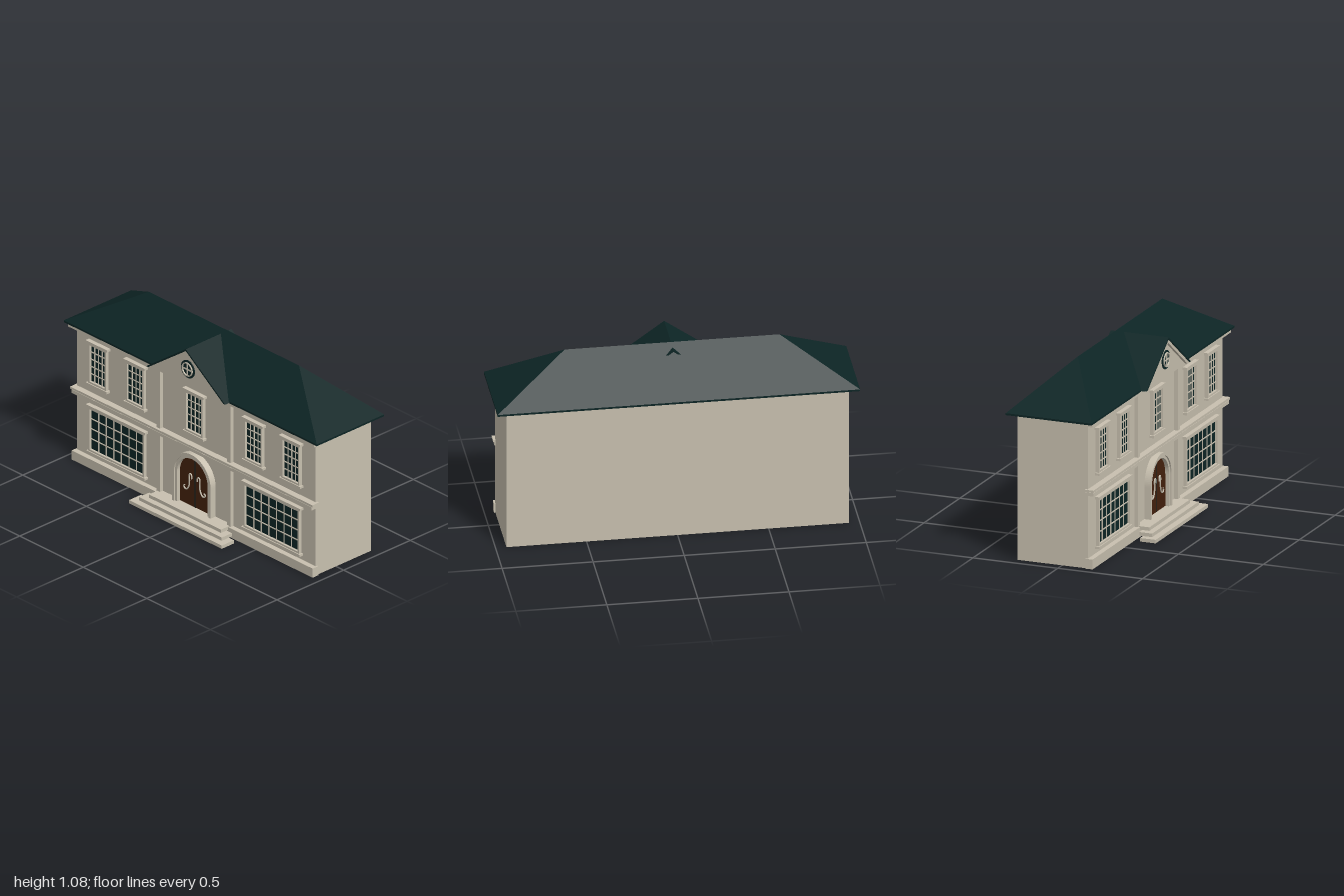
import * as THREE from 'three';

const stone = new THREE.MeshStandardMaterial({ color: 0xc8c0af });
stone.name = 'stone';
const slate = new THREE.MeshStandardMaterial({ color: 0x0d2525 });
slate.name = 'darkSlate';
const wood = new THREE.MeshStandardMaterial({ color: 0x44210d });
wood.name = 'doorWood';

const WALL = 0.152; // z of the front wall face

export function createModel() {
  const house = new THREE.Group();
  house.name = 'house';

  const add = (name, geometry, material, parent = house) => {
    const mesh = new THREE.Mesh(geometry, material);
    mesh.name = name;
    parent.add(mesh);
    return mesh;
  };
  // Box given by its limits on each axis
  const box = (name, x0, x1, y0, y1, z0, z1, material = stone, parent = house) => {
    const mesh = add(name, new THREE.BoxGeometry(x1 - x0, y1 - y0, z1 - z0), material, parent);
    mesh.position.set((x0 + x1) / 2, (y0 + y1) / 2, (z0 + z1) / 2);
    return mesh;
  };
  // Flat shape extruded between two z values
  const slab = (name, shape, z0, z1, material, parent = house) => {
    const geometry = new THREE.ExtrudeGeometry(shape, { depth: z1 - z0, bevelEnabled: false, curveSegments: 24 });
    return add(name, geometry.translate(0, 0, z0), material, parent);
  };
  const polygon = (points) => new THREE.Shape(points.map(([x, y]) => new THREE.Vector2(x, y)));

  // Main body, plinth, string courses and cornice
  box('walls', -0.94, 0.94, 0, 0.835, -0.262, WALL);
  box('plinth', -0.948, 0.948, 0, 0.056, 0.14, 0.183);
  box('lowerCourse', -0.945, 0.945, 0.413, 0.432, 0.14, 0.187);
  box('upperCourse', -0.953, 0.953, 0.436, 0.449, 0.14, 0.19);
  box('cornice', -0.968, 0.968, 0.812, 0.832, 0.14, 0.19);
  for (const s of [-1, 1]) {
    box('pilaster', s * 0.277 - 0.014, s * 0.277 + 0.014, 0.05, 0.83, 0.14, 0.174);
  }

  // Front steps
  [[0.365, 0.217, 0.309], [0.325, 0.195, 0.271], [0.283, 0.14, 0.237]].forEach(([w, z0, z1], i) =>
    box('step', -w, w, i * 0.02, (i + 1) * 0.02, z0, z1));

  // Hipped roof: a box whose top is drawn in to the ridge
  box('eaves', -0.995, 0.995, 0.831, 0.842, -0.309, 0.197, slate);
  const hip = new THREE.BoxGeometry(1.99, 0.238, 0.506);
  const p = hip.attributes.position;
  for (let i = 0; i < p.count; i++) {
    if (p.getY(i) > 0) p.setXYZ(i, Math.sign(p.getX(i)) * 0.59, p.getY(i), 0);
  }
  hip.computeVertexNormals();
  add('hipRoof', hip, slate).position.set(0, 0.961, -0.056);

  // Front gable: roof slabs, rake trim and pediment
  const slope = 0.222 / 0.31;
  const chevron = (top, thick, base) => polygon([
    [-(top - base) / slope, base], [-(top - thick - base) / slope, base], [0, top - thick],
    [(top - thick - base) / slope, base], [(top - base) / slope, base], [0, top]]);
  slab('gableRoof', chevron(1.058, 0.011, 0.836), -0.111, 0.231, slate);
  slab('rakeTrim', chevron(1.047, 0.02, 0.832), 0.19, 0.227, stone);
  slab('pediment', polygon([[-0.285, 0.832], [0.285, 0.832], [0, 1.037]]), 0.1, 0.212, stone);

  // Round window in the pediment
  const oculus = new THREE.Group();
  oculus.name = 'roundWindow';
  oculus.position.set(0, 0.93, 0.212);
  house.add(oculus);
  const disc = (name, r, depth, material) =>
    add(name, new THREE.CylinderGeometry(r, r, depth, 32).rotateX(Math.PI / 2), material, oculus);
  disc('roundGlass', 0.053, 0.01, slate);
  const ring = new THREE.Shape().absarc(0, 0, 0.041, 0, Math.PI * 2);
  ring.holes.push(new THREE.Path().absarc(0, 0, 0.035, 0, Math.PI * 2, true));
  slab('roundFrame', ring, 0, 0.012, stone, oculus);
  box('roundBarVertical', -0.0035, 0.0035, -0.036, 0.036, 0, 0.01, stone, oculus);
  box('roundBarHorizontal', -0.036, 0.036, -0.0035, 0.0035, 0, 0.01, stone, oculus);

  // Paned window: glass, frame, bars, lintel and sill
  const addWindow = (x, y, w, h, cols, rows) => {
    const g = new THREE.Group();
    g.name = 'window';
    g.position.set(x, y, WALL);
    house.add(g);
    const a = w / 2, b = h / 2, f = 0.011;
    box('glass', -a, a, -b, b, 0, 0.006, slate, g);
    for (const s of [-1, 1]) {
      const cx = s * (a + f / 2), cy = s * (b + f / 2);
      box('frameSide', cx - f / 2, cx + f / 2, -b - f, b + f, 0, 0.02, stone, g);
      box('frameRail', -a, a, cy - f / 2, cy + f / 2, 0, 0.02, stone, g);
    }
    for (let i = 1; i < cols; i++) {
      const bx = -a + (w * i) / cols;
      box('uprightBar', bx - 0.0025, bx + 0.0025, -b, b, 0, 0.011, stone, g);
    }
    for (let i = 1; i < rows; i++) {
      const by = -b + (h * i) / rows;
      box('crossBar', -a, a, by - 0.0025, by + 0.0025, 0, 0.011, stone, g);
    }
    box('lintel', -a - 0.024, a + 0.024, b + f, b + f + 0.014, 0, 0.026, stone, g);
    box('sill', -a - 0.022, a + 0.022, -b - f - 0.013, -b - f, 0, 0.026, stone, g);
  };
  for (const x of [-0.76, -0.465, 0, 0.465, 0.76]) addWindow(x, 0.636, 0.12, 0.222, 4, 5);
  for (const x of [-0.61, 0.61]) addWindow(x, 0.231, 0.416, 0.246, 7, 4);

  // Arched doorway: surround in two steps, door leaves and seam
  const arch = (r, base, Type = THREE.Shape) => {
    const s = new Type();
    s.moveTo(-r, base);
    s.lineTo(r, base);
    s.lineTo(r, 0.243);
    s.absarc(0, 0.243, r, 0, Math.PI, false);
    s.lineTo(-r, base);
    return s;
  };
  const surround = (name, outer, inner, z1) => {
    const s = arch(outer, 0.06);
    s.holes.push(arch(inner, 0.06, THREE.Path));
    slab(name, s, 0.14, z1, stone);
  };
  surround('outerArch', 0.152, 0.136, 0.19);
  surround('innerArch', 0.137, 0.12, 0.182);
  slab('door', arch(0.122, 0.058), 0.145, 0.16, wood);
  box('doorSeam', -0.003, 0.003, 0.06, 0.362, 0.155, 0.162, slate);

  // Scrolled door pulls
  for (const s of [-1, 1]) {
    const path = new THREE.CatmullRomCurve3([
      [0.022, 0.228], [0.024, 0.25], [0.035, 0.257], [0.042, 0.243], [0.04, 0.21],
      [0.046, 0.175], [0.062, 0.153], [0.08, 0.155], [0.083, 0.17], [0.073, 0.172],
    ].map(([x, y]) => new THREE.Vector3(s * x, y, 0.165)));
    add('doorPull', new THREE.TubeGeometry(path, 40, 0.0045, 6), stone);
  }

  return house;
}
